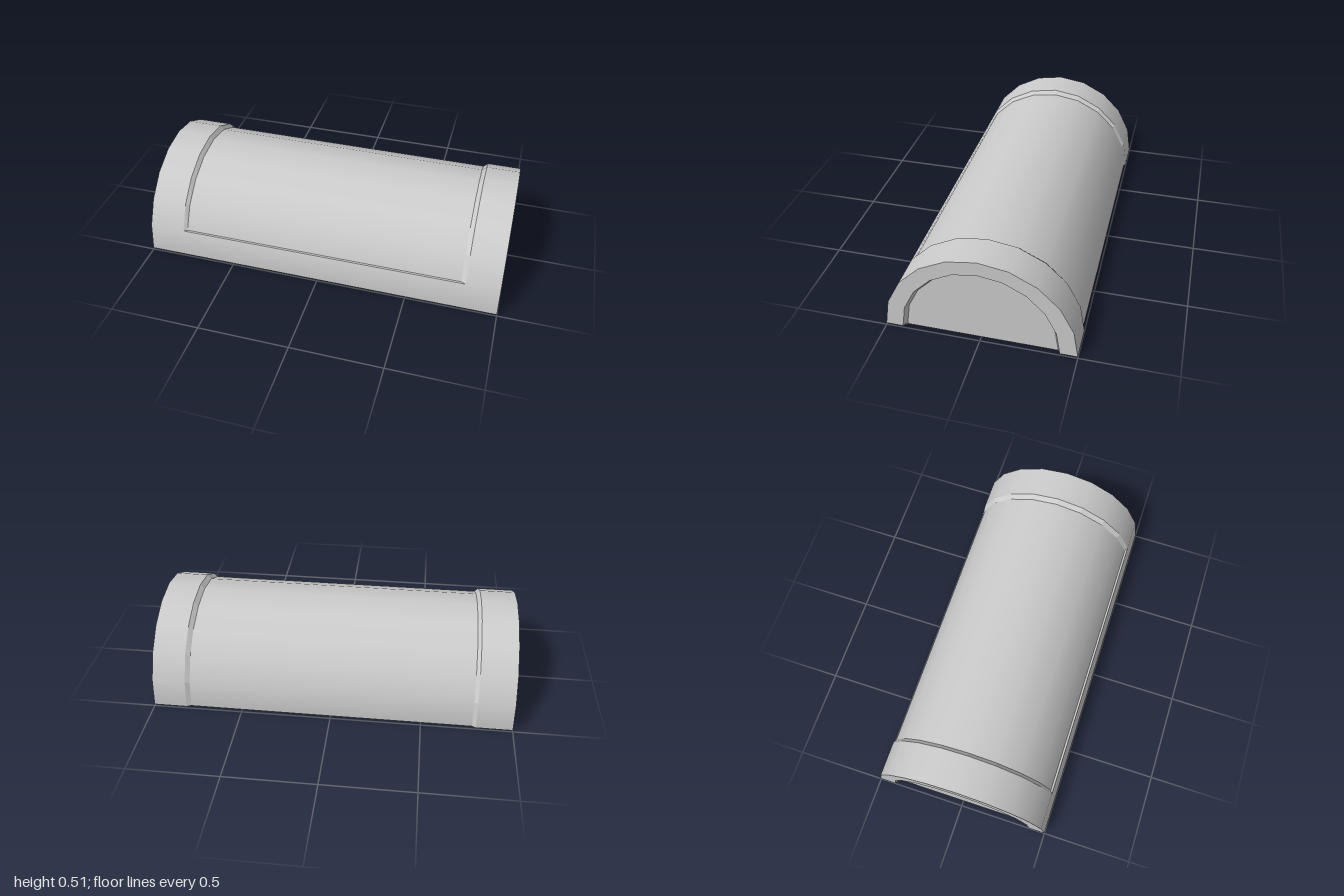
import * as THREE from 'three';

const BASE = 0.01;               // height of the arch centre line
const STEP = Math.PI / 10;       // the arch has ten facets
const material = new THREE.MeshStandardMaterial({ color: 0xcccccc, side: THREE.DoubleSide });

// Arched row of points at one x, running from the front (+z) over to the back
function arc(x, rz, ry, from = 0, to = Math.PI, y0 = BASE) {
  const n = Math.max(1, Math.round((to - from) / STEP));
  return Array.from({ length: n + 1 }, (_, i) => {
    const a = from + (to - from) * i / n;
    return new THREE.Vector3(x, y0 + ry * Math.sin(a), rz * Math.cos(a));
  });
}

const atFloor = row => row.map(p => new THREE.Vector3(p.x, 0, p.z));

// Strip of quads between two rows; shading is 'radial', 'flat' or smooth
function loft(a, b, shading) {
  const n = a.length, index = [];
  for (let i = 0; i < n - 1; i++) index.push(i, n + i, i + 1, n + i, n + i + 1, i + 1);
  let g = new THREE.BufferGeometry().setFromPoints([...a, ...b]);
  g.setIndex(index);
  if (shading === 'flat') g = g.toNonIndexed();
  g.computeVertexNormals();
  if (shading === 'radial') {
    [...a, ...b].forEach((p, i) => {
      const v = new THREE.Vector3(0, p.y - BASE, p.z).normalize();
      g.attributes.normal.setXYZ(i, v.x, v.y, v.z);
    });
  }
  return g;
}

export function createModel() {
  const model = new THREE.Group();
  const add = (name, geometry) => {
    const mesh = new THREE.Mesh(geometry, material);
    mesh.name = name;
    model.add(mesh);
  };

  const panelStart = 0.33;
  const panel = x => arc(x, 0.49, 0.477, panelStart);
  const ends = [
    { s: -1, name: 'right', outer: -0.8, inner: -0.78 },
    { s: 1, name: 'left', outer: 0.815, inner: 0.79 },
  ];

  for (const { s, name, outer, inner } of ends) {
    // Rows are swapped on the -x end so that faces keep pointing outward
    const strip = (part, a, b, shading) =>
      add(name + part, s > 0 ? loft(a, b, shading) : loft(b, a, shading));
    const rim = arc(s, 0.5, 0.5);
    const lip = arc(s, 0.41, 0.421);
    const plate = arc(s * 0.97, 0.395, 0.405);
    strip('Collar', arc(outer, 0.5, 0.5), rim, 'radial');
    strip('PanelStep', panel(inner), arc(outer, 0.5, 0.5, STEP), 'flat');
    strip('EndRim', rim, lip, 'flat');
    strip('RecessChamfer', lip, plate, 'flat');
    strip('EndPlate', plate, atFloor(plate), 'flat');

    // Inner end wall of the hollow
    const wall = arc(s * 0.9, 0.4, 0.4, 0, Math.PI, 0);
    strip('InnerWall', atFloor(wall), wall, 'flat');
  }

  // Sunken roof panel, which runs down to the base at the back
  const [r, l] = ends;
  add('roofPanel', loft(panel(r.inner), panel(l.inner), 'radial'));

  // Raised front skirt and the ledge where the panel meets it
  const skirt = x => arc(x, 0.5, 0.5, 0, STEP);
  add('frontSkirt', loft(skirt(r.outer), skirt(l.outer), 'radial'));
  add('frontLedge', loft(
    [panel(r.inner)[0], panel(l.inner)[0]],
    [skirt(r.outer)[1], skirt(l.outer)[1]], 'flat'));

  // Hollow vault
  add('innerVault', loft(
    arc(0.9, 0.4, 0.4, 0, Math.PI, 0), arc(-0.9, 0.4, 0.4, 0, Math.PI, 0), 'radial'));

  // Base: each corner is [x, y, z] on the wall, then [x, z] on the floor
  const corners = [
    [-1, BASE, 0.5, -0.975, 0.48], [1, BASE, 0.5, 0.975, 0.48],
    [1, BASE, 0.41, 0.975, 0.41], [0.97, 0, 0.395, 0.97, 0.395],
    [0.97, 0, -0.395, 0.97, -0.395], [1, BASE, -0.41, 0.975, -0.41],
    [1, BASE, -0.5, 0.975, -0.48], [l.outer, BASE, -0.5, l.outer, -0.48],
    [l.inner, BASE, -0.49, l.inner, -0.48], [r.inner, BASE, -0.49, r.inner, -0.48],
    [r.outer, BASE, -0.5, r.outer, -0.48], [-1, BASE, -0.5, -0.975, -0.48],
    [-1, BASE, -0.41, -0.975, -0.41], [-0.97, 0, -0.395, -0.97, -0.395],
    [-0.97, 0, 0.395, -0.97, 0.395], [-1, BASE, 0.41, -0.975, 0.41],
  ];
  const loop = [...corners, corners[0]];
  add('baseBevel', loft(
    loop.map(c => new THREE.Vector3(c[0], c[1], c[2])),
    loop.map(c => new THREE.Vector3(c[3], 0, c[4])), 'flat'));

  // Flat underside frame around the opening
  const frame = new THREE.Shape(corners.map(c => new THREE.Vector2(c[3], c[4])));
  frame.holes.push(new THREE.Path(
    [[-0.9, -0.4], [-0.9, 0.4], [0.9, 0.4], [0.9, -0.4]].map(p => new THREE.Vector2(...p))));
  add('baseFrame', new THREE.ShapeGeometry(frame).rotateX(Math.PI / 2));

  return model;
}
